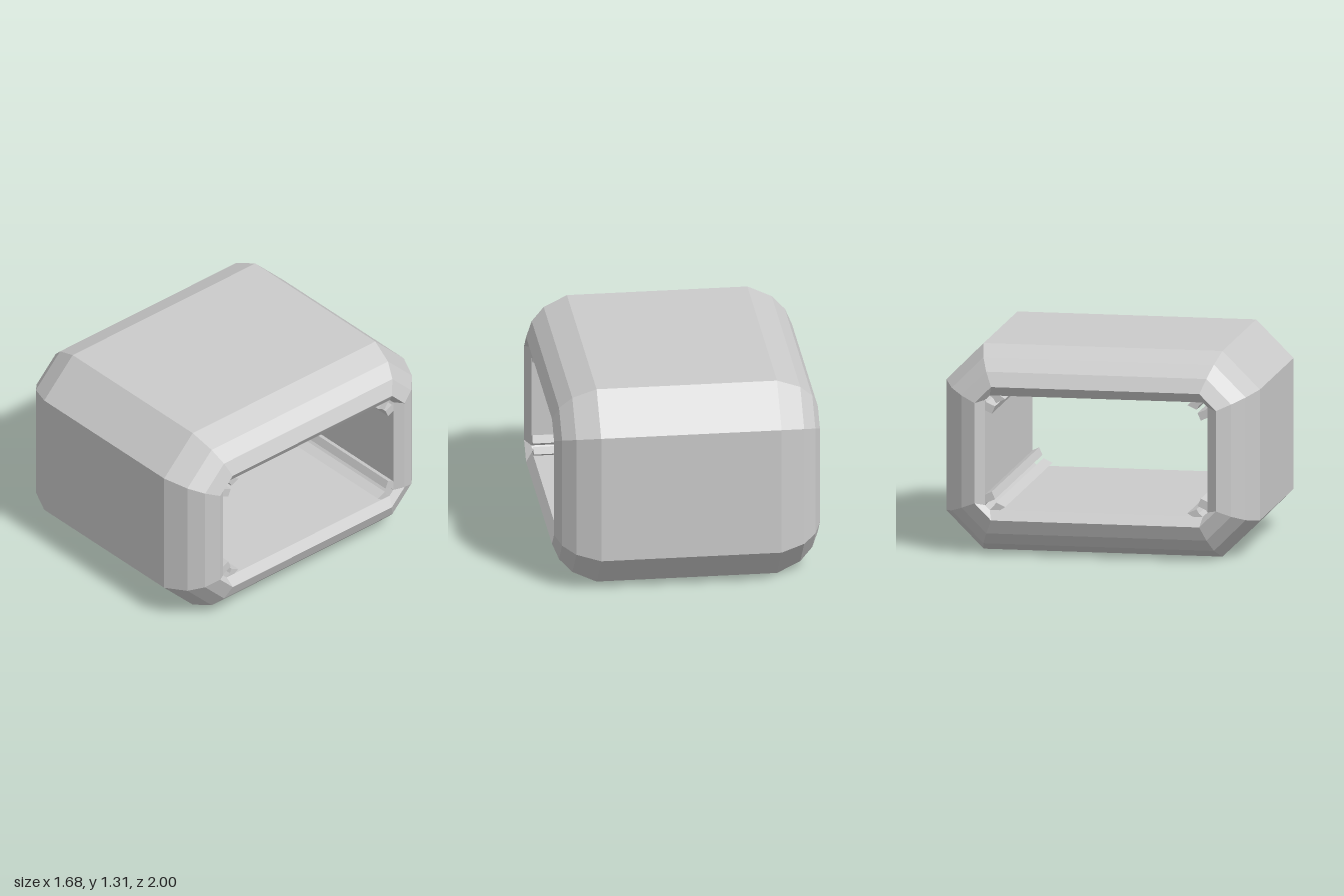
import * as THREE from 'three';

const MID_Y = 0.655; // height of the tube's axis

// Chamfered rectangle, counter-clockwise: half width, half height, chamfer.
function octagon(w, h, c) {
  return [
    [w, -h + c], [w, h - c], [w - c, h], [-w + c, h],
    [-w, h - c], [-w, -h + c], [-w + c, -h], [w - c, -h],
  ];
}

// Octagon inset evenly from the full outer section.
function insetOctagon(d) {
  return octagon(1 - d, MID_Y - d, 0.238 - d * 0.586 + d * 0.01);
}

// Joins a series of octagons along z into a flat-shaded skin.
function loft(rings) {
  const pos = [];
  const point = (ring, i) => {
    const p = ring.pts[i % ring.pts.length];
    return [p[0], p[1], ring.at];
  };
  for (let k = 0; k < rings.length - 1; k++) {
    for (let i = 0; i < rings[k].pts.length; i++) {
      const a = point(rings[k], i), b = point(rings[k], i + 1);
      const c = point(rings[k + 1], i + 1), d = point(rings[k + 1], i);
      pos.push(...a, ...b, ...c, ...a, ...c, ...d);
    }
  }
  const geo = new THREE.BufferGeometry();
  geo.setAttribute('position', new THREE.Float32BufferAttribute(pos, 3));
  geo.computeVertexNormals();
  return geo;
}

// Bore section: flat walls with a pair of clip rails and a groove per corner.
function borePoints() {
  const corner = [
    [0.71, 0.386], [0.667, 0.407], [0.646, 0.359], [0.70, 0.335], [0.71, 0.32],
    [0.68, 0.29], [0.655, 0.312], [0.64, 0.338], [0.582, 0.311], [0.614, 0.29],
  ].map(([z, y]) => [z, MID_Y - y]);
  const pts = [];
  for (const [sx, sy] of [[1, 1], [-1, 1], [-1, -1], [1, -1]]) {
    const list = sx * sy > 0 ? corner : [...corner].reverse();
    for (const [u, v] of list) pts.push(new THREE.Vector2(u * sx, v * sy));
  }
  return pts;
}

export function createModel() {
  const group = new THREE.Group();
  group.name = 'hollowHousing';
  const material = new THREE.MeshStandardMaterial({ color: 0xcccccc, flatShading: true });

  // Outer skin: rounded-over ends that turn in to a sloping lip
  const half = [
    { at: 0.57, pts: insetOctagon(0) },
    { at: 0.72, pts: insetOctagon(0.062) },
    { at: 0.80, pts: insetOctagon(0.14) },
    { at: 0.84, pts: insetOctagon(0.23) },
    { at: 0.80, pts: octagon(0.71, 0.365, 0.03) },
  ];
  const mirrored = half.map((r) => ({ at: -r.at, pts: r.pts })).reverse();
  const shell = new THREE.Mesh(loft([...mirrored, ...half]), material);
  shell.name = 'outerShell';

  // Inner liner with the clip rails running the whole length
  const section = new THREE.Shape(insetOctagon(0.25).map(([u, v]) => new THREE.Vector2(u, v)));
  section.holes.push(new THREE.Path(borePoints()));
  const linerGeo = new THREE.ExtrudeGeometry(section, { depth: 1.6, bevelEnabled: false });
  linerGeo.translate(0, 0, -0.8);
  const liner = new THREE.Mesh(linerGeo, material);
  liner.name = 'innerLinerWithRails';

  // Lay the tube along x and stand it on the ground
  for (const mesh of [shell, liner]) {
    mesh.geometry.rotateY(Math.PI / 2);
    mesh.geometry.translate(0, MID_Y, 0);
    group.add(mesh);
  }
  return group;
}
